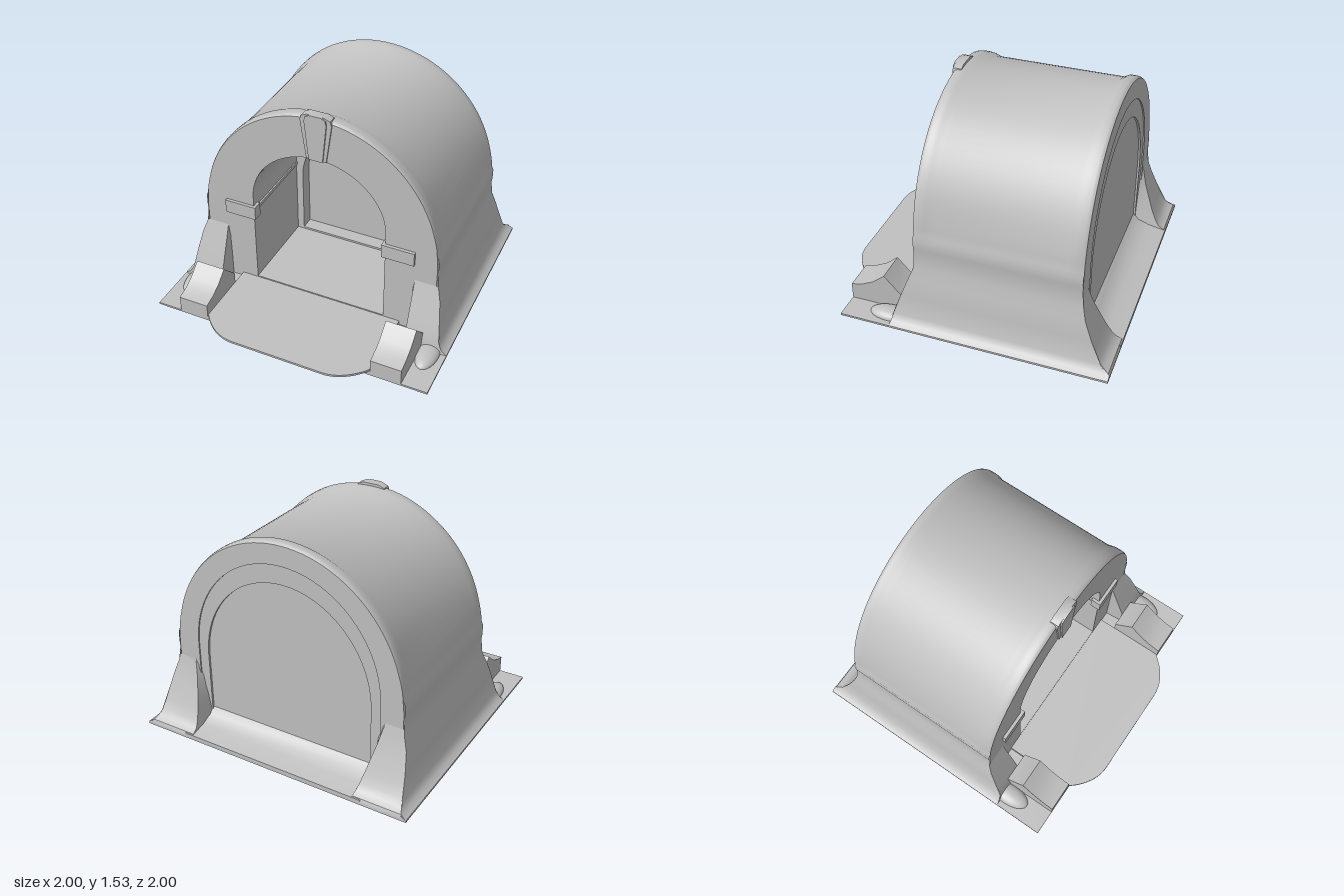
import * as THREE from 'three';
import { toCreasedNormals } from 'three/addons/utils/BufferGeometryUtils.js';

const stone = new THREE.MeshStandardMaterial({ color: 0xc0c0c0, side: THREE.DoubleSide });
stone.name = 'pale stone';

export function createModel() {
  const model = new THREE.Group();
  model.name = 'archedShelter';

  const add = (name, geo, crease = 0.6) => {
    const mesh = new THREE.Mesh(toCreasedNormals(geo, crease), stone);
    mesh.name = name;
    model.add(mesh);
  };
  const box = (name, x0, x1, y0, y1, z0, z1) =>
    add(name, new THREE.BoxGeometry(Math.abs(x1 - x0), y1 - y0, z1 - z0)
      .translate((x0 + x1) / 2, (y0 + y1) / 2, (z0 + z1) / 2));

  // Surface through rows of [x, y, z] points
  const loft = (rows) => {
    const n = rows[0].length, index = [];
    for (let i = 0; i < rows.length - 1; i++)
      for (let j = 0; j < n - 1; j++) {
        const a = i * n + j, b = a + n;
        index.push(a, b, a + 1, b, b + 1, a + 1);
      }
    const g = new THREE.BufferGeometry();
    g.setAttribute('position', new THREE.Float32BufferAttribute(rows.flat(2), 3));
    g.setIndex(index);
    return g;
  };
  // Linear lookup in a list of [y, value] pairs with y falling
  const lookup = (table, y) => {
    if (y >= table[0][0]) return table[0][1];
    for (let i = 1; i < table.length; i++) {
      const [y1, v1] = table[i], [y0, v0] = table[i - 1];
      if (y >= y1) return v1 + (v0 - v1) * (y - y1) / (y0 - y1);
    }
    return table[table.length - 1][1];
  };
  // Round-headed opening outline, from right foot over the top to left foot
  const arch = (hw, top, spring, bottom) => {
    const pts = [[hw, bottom]];
    for (let i = 0; i <= 40; i++) {
      const a = Math.PI * i / 40;
      pts.push([hw * Math.cos(a), spring + (top - spring) * Math.sin(a)]);
    }
    pts.push([-hw, bottom]);
    return pts;
  };
  const toShape = (pts, Type = THREE.Shape) => new Type(pts.map(p => new THREE.Vector2(p[0], p[1])));
  const ring = (outer, inner, z0, z1) => {
    const s = toShape(outer);
    if (inner) s.holes.push(toShape(inner, THREE.Path));
    return new THREE.ExtrudeGeometry(s, { depth: z1 - z0, bevelEnabled: false }).translate(0, 0, z0);
  };
  // Profile given as [z, y], drawn out between x0 and x1
  const across = (pts, x0, x1) => new THREE.ExtrudeGeometry(toShape(pts),
    { depth: Math.abs(x1 - x0), bevelEnabled: false }).rotateY(-Math.PI / 2).translate(Math.max(x0, x1), 0, 0);

  // Outer vault: half outline of the flared legs, then the round head
  const SPRING = 0.6, A = 0.85, B = 0.91;
  const leg = [[1, 0], [1, 0.015], [0.965, 0.035], [0.937, 0.08], [0.915, 0.23], [0.892, 0.36],
    [0.865, 0.44], [0.853, 0.55], [0.857, 0.59], [0.857, 0.66], [0.846, 0.69]];
  const head = [];
  for (let i = 1; i < 48; i++) {
    const a = 0.1 + (Math.PI - 0.2) * i / 48;
    head.push([A * Math.cos(a), SPRING + B * Math.sin(a)]);
  }
  const outline = [...leg, ...head, ...leg.map(([x, y]) => [-x, y]).reverse()];
  const legX = leg.map(([x, y]) => [y, x]).reverse();
  const frontZ = [[0.45, 0.35], [0.25, 0.425], [0.1, 0.48], [0, 0.5]];
  const backZ = [[0.49, -0.775], [0.36, -0.81], [0.12, -0.905], [0.06, -0.95], [0.035, -1], [0, -1]];
  // Moves a point in from the outline, most at the crown and not at all on the legs
  const inset = ([x, y], d) => {
    const nx = x / (A * A), ny = Math.max(0, y - SPRING) / (B * B), l = Math.hypot(nx, ny) || 1;
    const k = d * Math.min(1, Math.max(0, (y - 0.65) / 0.2)) * (0.45 + 0.55 * (ny / l) ** 4);
    return [x - k * nx / l, y - k * ny / l];
  };
  add('vaultShell', loft(outline.map(p => {
    const zf = lookup(frontZ, p[1]), zb = lookup(backZ, p[1]);
    return [[zb, 0.014], [zb + 0.012, 0.004], [zb + 0.025, 0], [-0.71, 0], [-0.67, 0.026], [0.22, 0.028],
      [0.27, 0.003], [0.3, 0], [zf - 0.025, 0], [zf - 0.01, 0.004], [zf, 0.014]]
      .map(([z, d]) => [...inset(p, d), z]);
  })), 0.9);

  // End walls use the head outline with plain upright legs
  const wall = [[0.85, 0.01], [0.85, 0.6], ...head.map(p => inset(p, 0.014)), [-0.85, 0.6], [-0.85, 0.01]];
  const doorway = arch(0.485, 1.2, 0.75, 0.02);
  const vaultEnd = arch(0.48, 1.17, 0.74, 0.02);
  const niche = arch(0.43, 0.98, 0.55, 0.07);
  add('frontWall', ring(wall, doorway, 0.33, 0.35));
  add('passageVault', loft(doorway.map(([x, y], i) => [[x, y, 0.35], [vaultEnd[i][0], vaultEnd[i][1], -0.28]])));
  add('innerFrame', ring(vaultEnd, niche, -0.38, -0.28));
  add('nichePanel', ring(arch(0.47, 1.02, 0.55, 0.02), null, -0.4, -0.38));

  // Back wall steps in towards a round-headed panel
  const outerArch = arch(0.69, 1.36, 0.62, 0.02), innerArch = arch(0.62, 1.23, 0.55, 0.02);
  add('backWall', ring(wall, outerArch, -0.775, -0.7));
  add('backArchBand', ring(outerArch, innerArch, -0.766, -0.7));
  add('backPanel', ring(innerArch, null, -0.752, -0.7));
  add('backSkirt', across([[-0.7, 0], [-1, 0], [-1, 0.035], [-0.88, 0.055], [-0.79, 0.085], [-0.75, 0.13],
    [-0.7, 0.15]], -0.68, 0.68));

  // Keystone, tapering downwards, with a raised rib down its middle
  const key = [[-0.07, 1.2], [0.07, 1.2], [0.11, 1.48], [0.1, 1.51], [0.06, 1.527], [-0.06, 1.527],
    [-0.1, 1.51], [-0.11, 1.48]];
  add('keystone', ring(key, null, 0.3, 0.36));
  add('keystoneRib', ring(key.map(([x, y]) => [x * 0.7, y]), null, 0.32, 0.37));

  const levels = [0.49, 0.45, 0.36, 0.25, 0.17, 0.1, 0.06, 0.04, 0.02, 0];
  for (const s of [1, -1]) {
    const side = s > 0 ? 'left' : 'right';
    // Flared corner piers
    add(side + 'FrontPier', loft(levels.slice(1).map(y => {
      const z = lookup(frontZ, y);
      return [[s * 0.685, y, 0.34], [s * 0.7, y, z], [s * lookup(legX, y), y, z]];
    })));
    add(side + 'BackPier', loft(levels.map(y => {
      const z = lookup(backZ, y);
      return [[s * (0.61 + 0.16 * y), y, -0.75], [s * (0.61 + 0.24 * y), y, z], [s * lookup(legX, y), y, z]];
    })));
    // Sloped guard block beside the entrance
    add(side + 'GuardBlock', across([[0.47, 0], [0.85, 0], [0.85, 0.13], [0.77, 0.15], [0.69, 0.19],
      [0.6, 0.265], [0.48, 0.135], [0.47, 0.13]], s * 0.605, s * 0.82), 0.4);
    add(side + 'GroundMound', new THREE.SphereGeometry(1, 24, 12, 0, Math.PI * 2, 0, Math.PI / 2)
      .scale(0.075, 0.048, 0.15).translate(s * 0.885, 0.012, 0.53));
    // Impost block and the ledge running inside from it
    box(side + 'Impost', s * 0.465, s * 0.695, 0.58, 0.68, 0.3, 0.372);
    box(side + 'InnerLedge', s * 0.472, s * 0.49, 0.635, 0.66, -0.28, 0.33);
  }

  // Ground slab, passage floor and the rounded apron
  box('baseSlab', -1, 1, 0, 0.014, -1, 0.85);
  box('apronBed', -0.605, 0.605, 0, 0.035, 0.3, 0.85);
  box('passageFloor', -0.49, 0.49, 0, 0.055, -0.39, 0.35);
  box('nicheSill', -0.48, 0.48, 0.02, 0.07, -0.38, -0.28);
  const apron = new THREE.Shape();
  apron.moveTo(-0.605, 0.34);
  apron.lineTo(-0.605, 0.84);
  apron.bezierCurveTo(-0.53, 0.94, -0.43, 1, -0.33, 1);
  apron.lineTo(0.33, 1);
  apron.bezierCurveTo(0.43, 1, 0.53, 0.94, 0.605, 0.84);
  apron.lineTo(0.605, 0.34);
  add('apron', new THREE.ExtrudeGeometry(apron, { depth: 0.016, bevelEnabled: false })
    .rotateX(Math.PI / 2).translate(0, 0.046, 0));

  return model;
}
